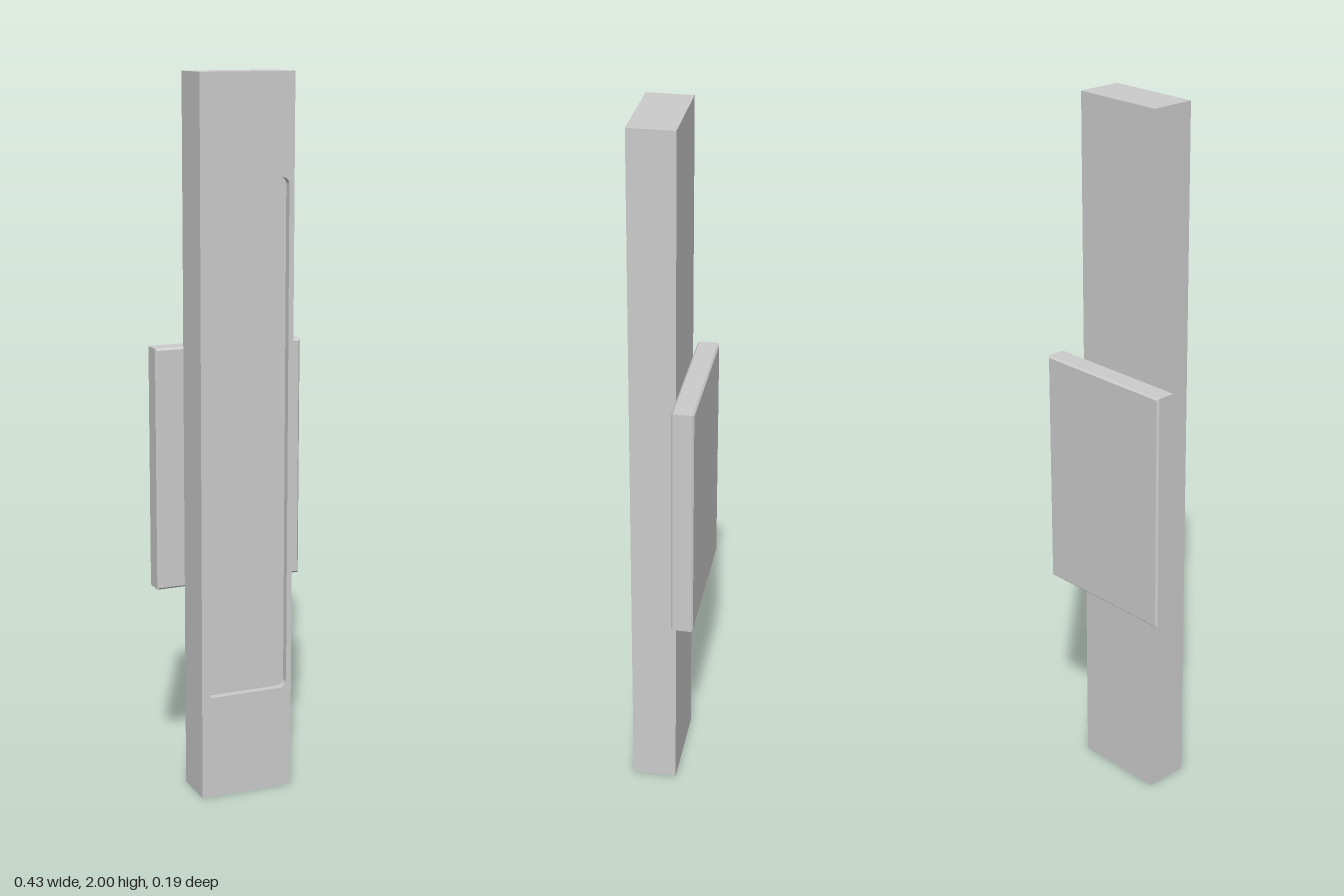
import * as THREE from 'three';

const material = new THREE.MeshStandardMaterial({ color: 0xcccccc, flatShading: true });

// Rounded rectangle centred on (0, cy)
function roundedRect(Type, w, h, r, cy) {
  const s = new Type(), x = w / 2, y0 = cy - h / 2, y1 = cy + h / 2;
  s.absarc(x - r, y0 + r, r, -Math.PI / 2, 0);
  s.absarc(x - r, y1 - r, r, 0, Math.PI / 2);
  s.absarc(-x + r, y1 - r, r, Math.PI / 2, Math.PI);
  s.absarc(-x + r, y0 + r, r, Math.PI, Math.PI * 1.5);
  s.closePath();
  return s;
}

function rect(w, h, cy) {
  const x = w / 2, y = h / 2;
  return new THREE.Shape([[-x, cy - y], [x, cy - y], [x, cy + y], [-x, cy + y]]
    .map(([a, b]) => new THREE.Vector2(a, b)));
}

export function createModel() {
  const group = new THREE.Group();
  const add = (name, geometry, z) => {
    const mesh = new THREE.Mesh(geometry, material);
    mesh.name = name;
    mesh.position.z = z;
    group.add(mesh);
  };
  const back = -0.033, front = 0.094, recess = 0.02;
  const pocket = [0.24, 1.43, 0.02, 1.01];

  // Tall bar with a rounded pocket opening in its front
  const bar = rect(0.27, 2, 1);
  bar.holes.push(roundedRect(THREE.Path, ...pocket));
  add('bar', new THREE.ExtrudeGeometry(bar, { depth: front - back, bevelEnabled: false, curveSegments: 8 }), back);

  // Insert filling the pocket, set back from the front face
  const insert = roundedRect(THREE.Shape, ...pocket);
  add('insetPanel', new THREE.ExtrudeGeometry(insert,
    { depth: front - recess - back, bevelEnabled: false, curveSegments: 8 }), back);

  // Mounting plate behind the bar, with chamfered edges
  const c = 0.005, depth = 0.061;
  add('backPlate', new THREE.ExtrudeGeometry(rect(0.43 - 2 * c, 0.68 - 2 * c, 0.925),
    { depth: depth - 2 * c, bevelSize: c, bevelThickness: c, bevelSegments: 1 }), back - depth + c);

  return group;
}
